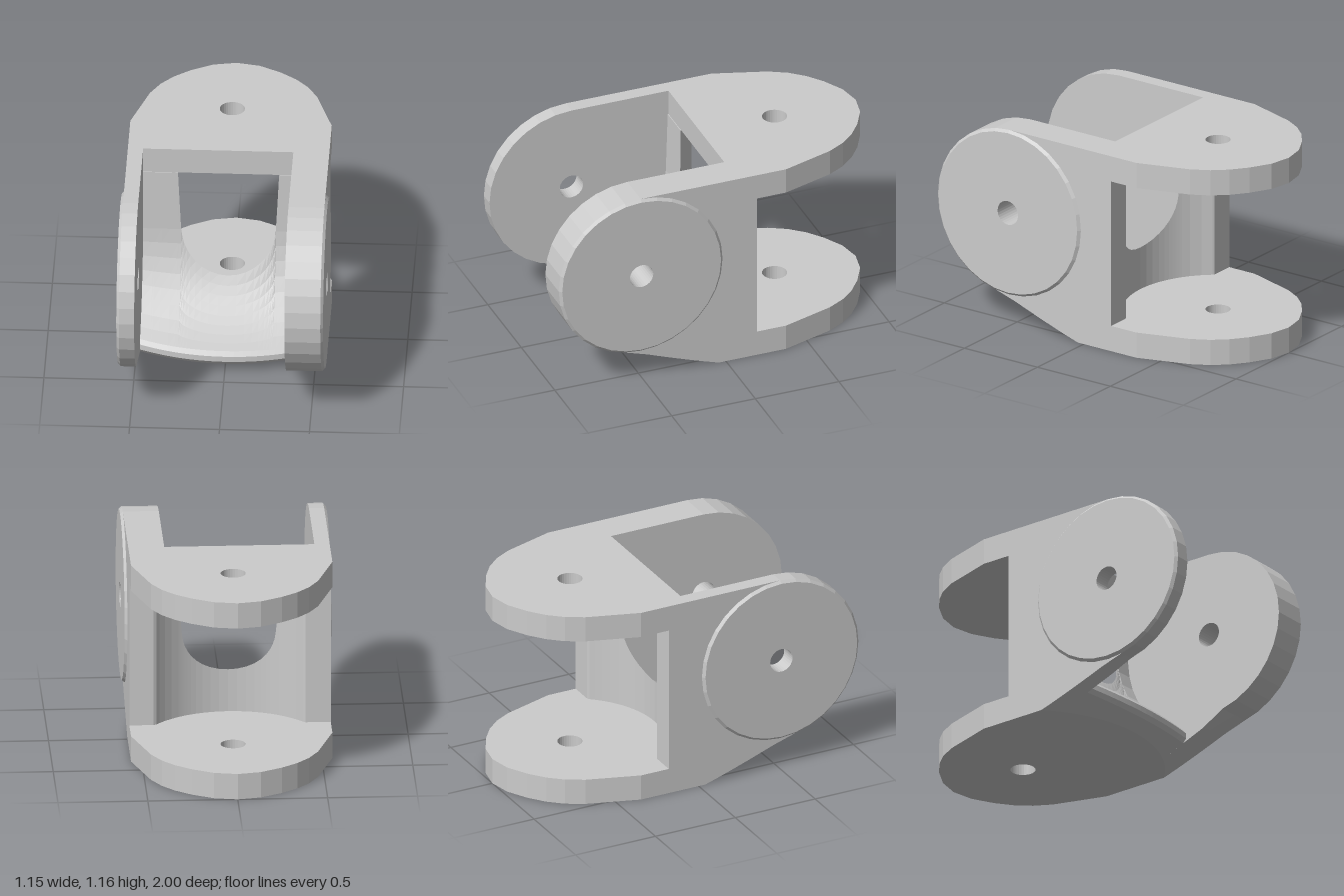
import * as THREE from 'three';

const material = new THREE.MeshStandardMaterial({ color: 0xcccccc, flatShading: true, side: THREE.DoubleSide });

// Main dimensions
const HALF = 0.56, TOP = 1.16, PLATE = 0.15, BACK = -0.19;
const PIVOT_Z = 0.51, PIVOT_Y = 0.67, DISC_R = 0.49, TROUGH_R = 0.565;
const POST_Z = -0.515, POCKET_R = 0.53, HOLE_R = 0.07;
const INNER_RIGHT = -0.475, INNER_LEFT = 0.36;

// Conical underside, centred on the vertical hole axis
const coneY = (x, z) => Math.max(0, (Math.hypot(x, z - POST_Z) - 0.79) / 2.33);
const coneFoot = (x) => POST_Z + Math.sqrt(0.79 ** 2 - x * x);

// Rear pocket: vertical cylinder, flattened near the outer sides
const pocketZ = (x) =>
  Math.max(BACK + 0.003, POST_Z + Math.sqrt(Math.max(0, POCKET_R ** 2 - x * x)));

// Front trough: horizontal cylinder running into a nearly upright wall
const troughZ = (y) => y < 0.65
  ? PIVOT_Z - Math.sqrt(TROUGH_R ** 2 - (PIVOT_Y - y) ** 2)
  : -0.055 - 0.015 * (y - 0.65) / 0.51;

// Height at which the trough breaks through into the rear pocket
function breakThrough(x) {
  const zb = pocketZ(x);
  let lo = 0.2, hi = TOP - PLATE;
  if (troughZ(hi) >= zb) return hi;
  for (let i = 0; i < 40; i++) {
    const mid = (lo + hi) / 2;
    if (troughZ(mid) > zb) lo = mid; else hi = mid;
  }
  return lo;
}

// Joins (z, y) cross-sections along x; optional round hole through both ends
function loft(xs, section, hole) {
  const rings = xs.map(section), pos = [];
  const put = (x, p) => pos.push(x, p.y, p.x);
  for (let k = 0; k < xs.length - 1; k++) {
    const n = rings[k].length;
    for (let i = 0; i < n; i++) {
      const j = (i + 1) % n, [r, s] = [rings[k], rings[k + 1]];
      put(xs[k], r[i]); put(xs[k + 1], s[i]); put(xs[k + 1], s[j]);
      put(xs[k], r[i]); put(xs[k + 1], s[j]); put(xs[k], r[j]);
    }
  }
  for (const k of [0, xs.length - 1]) {
    const holes = hole ? [hole] : [];
    const all = [rings[k], ...holes].flat();
    for (const [a, b, c] of THREE.ShapeUtils.triangulateShape(rings[k], holes)) {
      for (const i of k === 0 ? [a, b, c] : [a, c, b]) put(xs[k], all[i]);
    }
  }
  const g = new THREE.BufferGeometry();
  g.setAttribute('position', new THREE.Float32BufferAttribute(pos, 3));
  g.computeVertexNormals();
  return g;
}

const v = (z, y) => new THREE.Vector2(z, y);

// Cross-section of a cheek: round front, conical underside, rear pocket
function cheekSection(x) {
  const foot = coneFoot(x), ring = [v(BACK, 0), v(foot, 0)];
  for (let i = 1; i <= 5; i++) {
    const z = foot + (0.47 - foot) * i / 5;
    ring.push(v(z, coneY(x, z)));
  }
  for (let i = -7; i <= 8; i++) {
    const a = i * Math.PI / 16;
    ring.push(v(PIVOT_Z + DISC_R * Math.cos(a), PIVOT_Y + DISC_R * Math.sin(a)));
  }
  const zb = pocketZ(x);
  ring.push(v(BACK, TOP), v(BACK, TOP - PLATE), v(zb, TOP - PLATE), v(zb, PLATE), v(BACK, PLATE));
  return ring;
}

// Cross-section of the web: underside, rounded lip, trough, rear pocket
function webSection(x) {
  const lip = 0.39 - 0.31 * x * x, low = coneY(x, lip - 0.02), high = troughZ_y(lip - 0.02);
  const ring = [v(BACK, 0), v(coneFoot(x), 0), v(lip - 0.02, low),
    v(lip, low + (high - low) * 0.3), v(lip, low + (high - low) * 0.7)];
  const top = breakThrough(x);
  const angle = (y) => Math.asin((PIVOT_Y - y) / TROUGH_R);
  const a0 = angle(high), a1 = angle(Math.min(top, 0.65));
  for (let i = 0; i <= 8; i++) {
    const y = PIVOT_Y - TROUGH_R * Math.sin(a0 + (a1 - a0) * i / 8);
    ring.push(v(troughZ(y), y));
  }
  const zb = pocketZ(x);
  ring.push(v(troughZ(top), top), v(zb, top), v(zb, PLATE), v(BACK, PLATE));
  return ring;
}

// Height of the trough floor at a given z
function troughZ_y(z) {
  return PIVOT_Y - Math.sqrt(TROUGH_R ** 2 - (z - PIVOT_Z) ** 2);
}

// Horizontal lug with a rounded rear end and a hole; front is a list of (x, -z)
function lugGeometry(front) {
  const half = [[0.56, 0.36], [0.465, 0.66], [0.41, 0.76], [0.34, 0.84], [0.25, 0.91], [0.13, 0.975]];
  const outline = [...front, ...half, [0, 1], ...half.map(([x, y]) => [-x, y]).reverse()];
  const shape = new THREE.Shape(outline.map(([x, y]) => v(x, y)));
  shape.holes.push(new THREE.Path().absarc(0, -POST_Z, HOLE_R, 0, Math.PI * 2, true));
  const g = new THREE.ExtrudeGeometry(shape, { depth: PLATE, bevelEnabled: false, curveSegments: 16 });
  return g.rotateX(-Math.PI / 2);
}

export function createModel() {
  const model = new THREE.Group();
  model.name = 'clevisBracket';
  const add = (name, geometry) => {
    const mesh = new THREE.Mesh(geometry, material);
    mesh.name = name;
    model.add(mesh);
    return mesh;
  };

  // Cheeks either side of the pivot
  const pivotHole = Array.from({ length: 32 }, (_, i) => {
    const a = -i * Math.PI / 16;
    return v(PIVOT_Z + HOLE_R * Math.cos(a), PIVOT_Y + HOLE_R * Math.sin(a));
  });
  add('rightCheek', loft([-HALF, -0.52, INNER_RIGHT], cheekSection, pivotHole));
  add('leftCheek', loft([INNER_LEFT, 0.39, 0.41, 0.425, 0.47, 0.52, HALF], cheekSection, pivotHole));

  // Chamfered outer discs, with the bore through each cheek
  for (const [name, side, inner] of [['rightDisc', -1, -INNER_RIGHT], ['leftDisc', 1, INNER_LEFT]]) {
    const profile = [v(HOLE_R, inner), v(HOLE_R, 0.575), v(0.475, 0.575), v(DISC_R, HALF)];
    const disc = add(name, new THREE.LatheGeometry(profile, 32).rotateZ(-side * Math.PI / 2));
    disc.position.set(0, PIVOT_Y, PIVOT_Z);
  }

  // Web between the cheeks, opened by a window
  const rim = [0.05, 0.1, 0.145, 0.18, 0.21, 0.23, 0.245, 0.255, 0.263, 0.272, 0.281, 0.32];
  const xs = [INNER_RIGHT, -0.42, -0.41, -0.37, ...rim.map((x) => -x).reverse(), 0, ...rim, INNER_LEFT];
  add('web', loft(xs, webSection));

  // Upper and lower rear lugs
  const upper = add('upperLug', lugGeometry([[-HALF, -BACK], [INNER_RIGHT, -BACK], [INNER_RIGHT, 0.07],
    [INNER_LEFT, 0.07], [INNER_LEFT, -BACK], [HALF, -BACK]]));
  upper.position.y = TOP - PLATE;
  add('lowerLug', lugGeometry([[-HALF, -BACK], [HALF, -BACK]]));

  return model;
}
